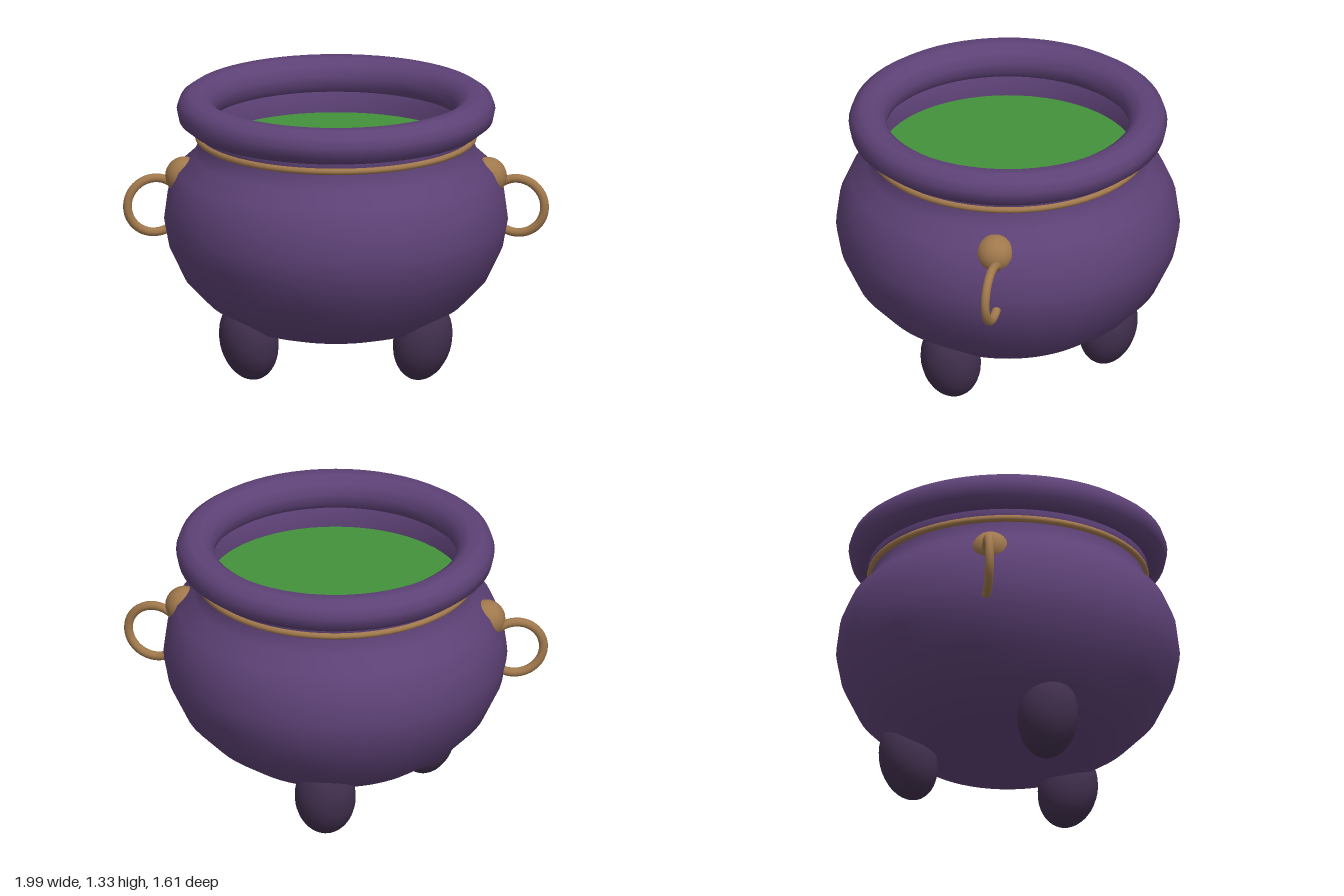
import * as THREE from 'three';

const mat = (name, color) => {
  const m = new THREE.MeshStandardMaterial({ color });
  m.name = name;
  return m;
};

export function createModel() {
  const purple = mat('purple', 0x5e4277);
  const darkPurple = mat('dark purple', 0x42304f);
  const bronze = mat('bronze', 0xa0784c);
  const green = mat('green', 0x43923c);

  const model = new THREE.Group();
  model.name = 'cauldron';

  const add = (name, geometry, material, parent = model) => {
    const mesh = new THREE.Mesh(geometry, material);
    mesh.name = name;
    parent.add(mesh);
    return mesh;
  };
  const lathe = (points) =>
    new THREE.LatheGeometry(points.map(([r, y]) => new THREE.Vector2(r, y)), 64);

  // Round belly, neck and inner wall
  add('body', lathe([
    [0, 0.205], [0.36, 0.207], [0.47, 0.24], [0.6, 0.33], [0.71, 0.445],
    [0.783, 0.6], [0.805, 0.72], [0.788, 0.85], [0.74, 0.96], [0.665, 1.03],
    [0.64, 1.1], [0.645, 1.13], [0.66, 1.19], [0.6, 1.2], [0.6, 1.04],
  ]), purple);

  // Thick rolled rim
  add('rim', lathe([
    [0.6, 1.17], [0.64, 1.165], [0.69, 1.167], [0.735, 1.203], [0.746, 1.255],
    [0.73, 1.3], [0.69, 1.328], [0.63, 1.328], [0.587, 1.3], [0.566, 1.25],
    [0.575, 1.2], [0.6, 1.17],
  ]), purple);

  // Brew surface
  const brew = add('liquid', new THREE.CircleGeometry(0.6, 64), green);
  brew.rotation.x = -Math.PI / 2;
  brew.position.y = 1.07;

  // Band round the neck
  const band = add('neckBand', new THREE.TorusGeometry(0.645, 0.016, 10, 64), bronze);
  band.rotation.x = Math.PI / 2;
  band.position.y = 1.12;

  // Ring handles hanging from round bosses
  for (const side of [1, -1]) {
    const handle = new THREE.Group();
    handle.name = side > 0 ? 'leftHandle' : 'rightHandle';
    model.add(handle);
    const boss = add('handleBoss', new THREE.SphereGeometry(0.09, 24, 16), bronze, handle);
    boss.position.set(side * 0.71, 0.925, 0);
    const ring = add('handleRing', new THREE.TorusGeometry(0.131, 0.021, 12, 40), bronze, handle);
    ring.position.set(side * 0.848, 0.783, 0);
    ring.rotation.y = -side * 0.2;
  }

  // Three egg-shaped feet leaning outward, one at the back
  for (let i = 0; i < 3; i++) {
    const leg = new THREE.Group();
    leg.name = 'leg' + (i + 1);
    leg.rotation.y = -Math.PI / 6 + (i * Math.PI * 2) / 3;
    model.add(leg);
    const foot = add('foot', new THREE.SphereGeometry(1, 28, 20), darkPurple, leg);
    foot.scale.set(0.135, 0.2, 0.143);
    foot.position.set(0.47, 0.197, 0);
    foot.rotation.z = -0.22;
  }

  return model;
}
